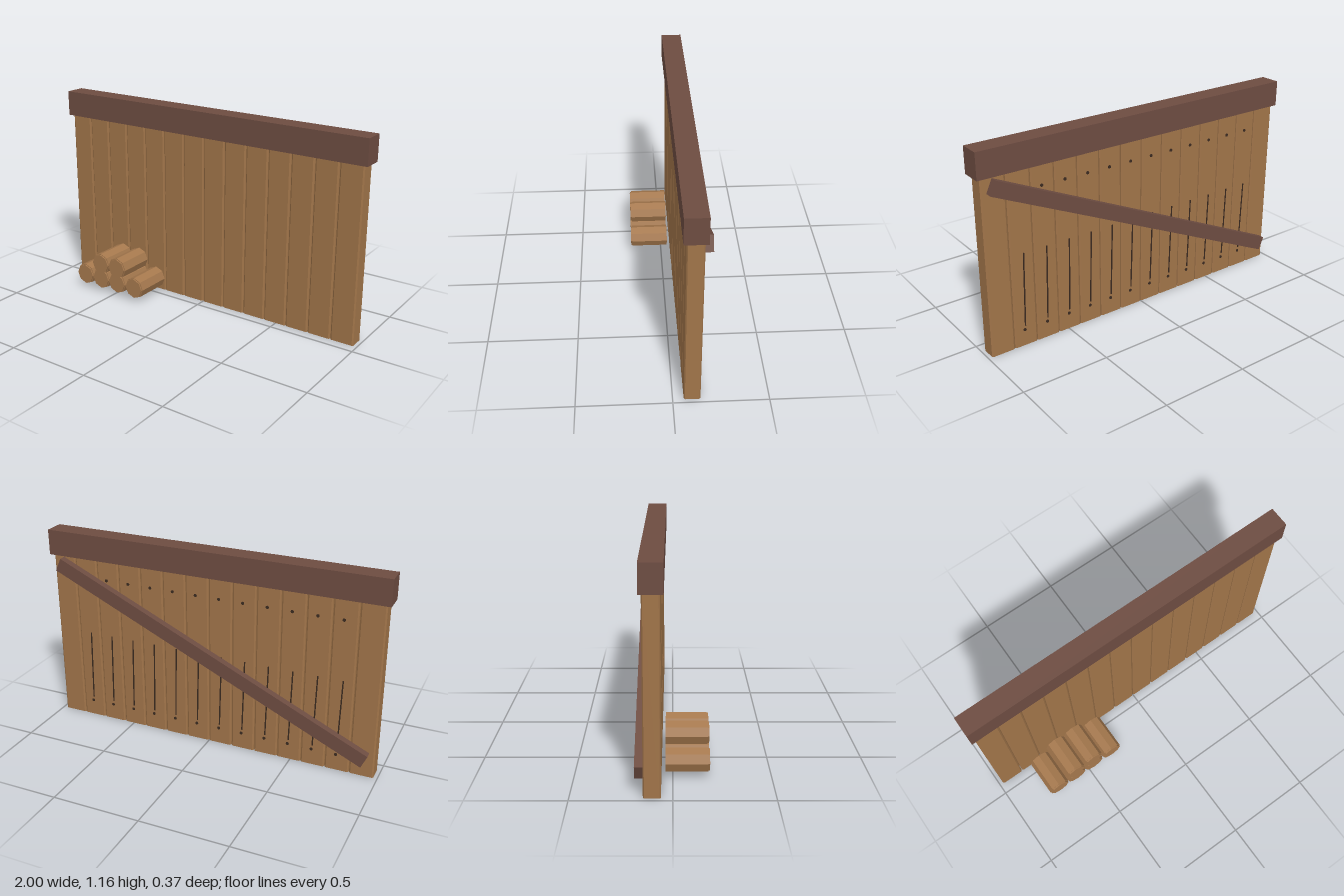
import * as THREE from 'three';

export function createModel() {
  const model = new THREE.Group();
  const mat = (name, color) => {
    const m = new THREE.MeshStandardMaterial({ color });
    m.name = name;
    return m;
  };
  const plankWood = mat('plank wood', 0xa07449);
  const beamWood = mat('dark beam wood', 0x6d4c41);
  const logWood = mat('log wood', 0xa5784d);
  const darkIron = mat('dark cracks and nails', 0x3a2a20);

  const add = (name, geometry, material, x, y, z, parent = model) => {
    const mesh = new THREE.Mesh(geometry, material);
    mesh.name = name;
    mesh.position.set(x, y, z);
    parent.add(mesh);
    return mesh;
  };

  // Planks: chamfered cross-section extruded upwards
  const w = 0.068, d = 0.0435, cx = 0.008, cz = 0.006;
  const section = new THREE.Shape([
    [-w + cx, -d], [w - cx, -d], [w, -d + cz], [w, d - cz],
    [w - cx, d], [-w + cx, d], [-w, d - cz], [-w, -d + cz],
  ].map(([x, y]) => new THREE.Vector2(x, y)));
  const plankGeo = new THREE.ExtrudeGeometry(section, { depth: 1.02, bevelEnabled: false });
  plankGeo.rotateX(-Math.PI / 2);

  const nailGeo = new THREE.CylinderGeometry(0.009, 0.009, 0.008, 8).rotateX(Math.PI / 2);
  const crackGeo = new THREE.BoxGeometry(0.007, 0.43, 0.006);
  const planks = new THREE.Group();
  planks.name = 'planks';
  model.add(planks);
  const count = 14, pitch = 0.14, backZ = -0.1445;
  for (let i = 0; i < count; i++) {
    const x = (i - (count - 1) / 2) * pitch;
    add('plank', plankGeo, plankWood, x, 0, -0.101, planks);
    if (i === 0 || i === count - 1) continue;
    // Nails and a long crack on the back of the inner planks
    add('upperNail', nailGeo, darkIron, x + 0.008, 0.895, backZ, planks);
    add('lowerNail', nailGeo, darkIron, x + 0.008, 0.097, backZ, planks);
    const crack = add('crack', crackGeo, darkIron, x - 0.002, 0.335, backZ, planks);
    crack.rotation.z = 0.027;
  }

  // Top beam and diagonal back brace
  add('topBeam', new THREE.BoxGeometry(2, 0.147, 0.118), beamWood, 0, 1.0825, -0.1);
  const brace = add('backBrace', new THREE.BoxGeometry(2.046, 0.082, 0.042), beamWood, 0, 0.538, -0.166);
  brace.rotation.z = 0.429;

  // Stacked eight-sided logs with slightly smaller cut ends
  const logGeo = new THREE.CylinderGeometry(0.064, 0.064, 0.216, 8).rotateX(Math.PI / 2).toNonIndexed();
  logGeo.computeVertexNormals();
  const endGeo = new THREE.CylinderGeometry(0.059, 0.059, 0.009, 8).rotateX(Math.PI / 2).toNonIndexed();
  endGeo.computeVertexNormals();
  const logs = new THREE.Group();
  logs.name = 'logPile';
  model.add(logs);
  for (const [x, y] of [[-0.715, 0.086], [-0.59, 0.086], [-0.465, 0.086], [-0.335, 0.086], [-0.59, 0.181], [-0.465, 0.181]]) {
    add('log', logGeo, logWood, x, y, 0.071, logs);
    add('logEnd', endGeo, logWood, x, y, 0.1825, logs);
  }

  return model;
}
